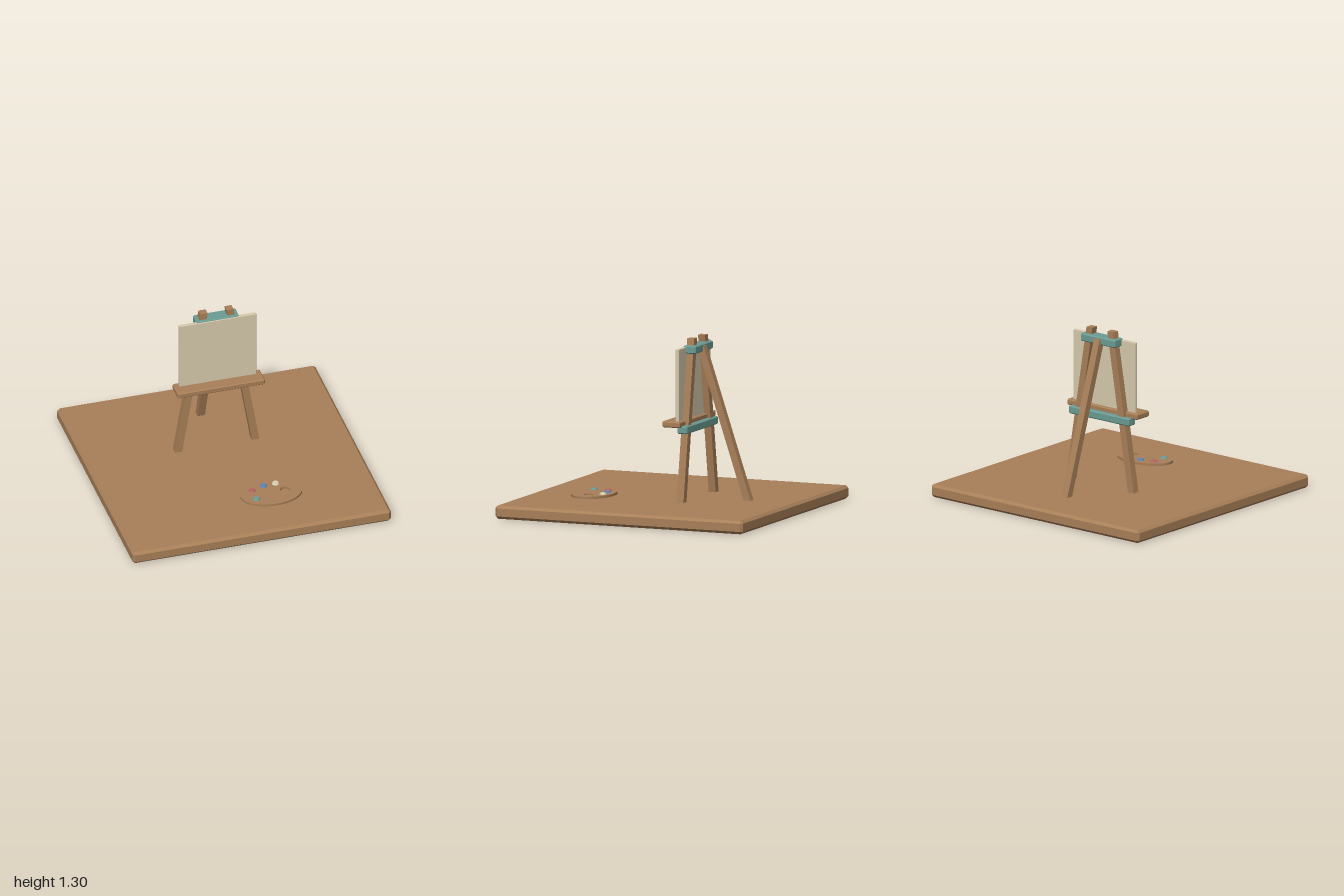
import * as THREE from 'three';
import { ConvexGeometry } from 'three/addons/geometries/ConvexGeometry.js';

const material = (color) => new THREE.MeshStandardMaterial({ color });
const wood = material(0xa87f58);
const teal = material(0x6b9c94);
const linen = material(0xd6caac);
const red = material(0xb5655f);
const blue = material(0x5f83b5);
const cream = material(0xd8d0b4);

function add(parent, name, geometry, mat, x = 0, y = 0, z = 0) {
  const mesh = new THREE.Mesh(geometry, mat);
  mesh.name = name;
  mesh.position.set(x, y, z);
  parent.add(mesh);
  return mesh;
}

// Box with every edge cut at 45 degrees
function chamferBox(w, h, d, c) {
  const points = [];
  for (const sx of [-1, 1]) for (const sy of [-1, 1]) for (const sz of [-1, 1]) {
    for (let axis = 0; axis < 3; axis++) {
      const cut = [c, c, c];
      cut[axis] = 0;
      points.push(new THREE.Vector3(sx * (w / 2 - cut[0]), sy * (h / 2 - cut[1]), sz * (d / 2 - cut[2])));
    }
  }
  return new ConvexGeometry(points);
}

// Chamfered bar given by its lower and upper corners
function bar(parent, name, mat, lo, hi, c) {
  const mid = lo.map((v, i) => (v + hi[i]) / 2);
  return add(parent, name, chamferBox(hi[0] - lo[0], hi[1] - lo[1], hi[2] - lo[2], c), mat, ...mid);
}

// Slanted square post with level ends, from one centre point to another
function post(from, to, size) {
  const g = new THREE.BoxGeometry(size, 1, size);
  const p = g.attributes.position;
  for (let i = 0; i < p.count; i++) {
    const t = p.getY(i) + 0.5;
    p.setXYZ(i,
      p.getX(i) + THREE.MathUtils.lerp(from[0], to[0], t),
      THREE.MathUtils.lerp(from[1], to[1], t),
      p.getZ(i) + THREE.MathUtils.lerp(from[2], to[2], t));
  }
  g.computeVertexNormals();
  return g;
}

export function createModel() {
  const model = new THREE.Group();
  model.name = 'easelScene';

  // Floor slab
  bar(model, 'base', wood, [-1, 0, -1], [1, 0.1, 1], 0.02);

  // Easel: two front legs, one rear leg, cross bars and tray
  const easel = new THREE.Group();
  easel.name = 'easel';
  model.add(easel);
  for (const s of [-1, 1]) {
    add(easel, s > 0 ? 'frontLegLeft' : 'frontLegRight',
      post([s * 0.3, 0.09, -0.207], [s * 0.1, 1.305, -0.207], 0.056), wood);
  }
  add(easel, 'rearLeg', post([0, 0.09, -0.622], [0, 1.24, -0.24], 0.056), wood);
  bar(easel, 'topCrossBar', teal, [-0.165, 1.195, -0.262], [0.165, 1.255, -0.163], 0.008);
  bar(easel, 'lowerCrossBar', teal, [-0.29, 0.61, -0.248], [0.29, 0.67, -0.168], 0.008);
  bar(easel, 'canvasTray', wood, [-0.338, 0.66, -0.21], [0.338, 0.705, -0.065], 0.008);
  bar(easel, 'canvas', linen, [-0.297, 0.7, -0.184], [0.297, 1.243, -0.157], 0.003);

  // Oval palette with a thumb hole
  const palette = new THREE.Group();
  palette.name = 'palette';
  palette.position.set(0.205, 0.1, 0.54);
  model.add(palette);
  const outline = new THREE.Shape();
  outline.absellipse(0, 0, 0.235, 0.157, 0, Math.PI * 2);
  const hole = new THREE.Path();
  hole.absarc(0.108, 0, 0.038, 0, Math.PI * 2, true);
  outline.holes.push(hole);
  const board = new THREE.ExtrudeGeometry(outline, { depth: 0.018, bevelEnabled: false, curveSegments: 32 });
  board.rotateX(-Math.PI / 2);
  add(palette, 'paletteBoard', board, wood);

  // Dabs of paint
  const dabs = [[-0.132, -0.057, red], [-0.033, -0.093, blue], [0.062, -0.098, cream], [-0.132, 0.058, teal]];
  for (const [x, z, mat] of dabs) {
    add(palette, 'paintDab', new THREE.CylinderGeometry(0.021, 0.029, 0.014, 20), mat, x, 0.023, z);
  }
  return model;
}
